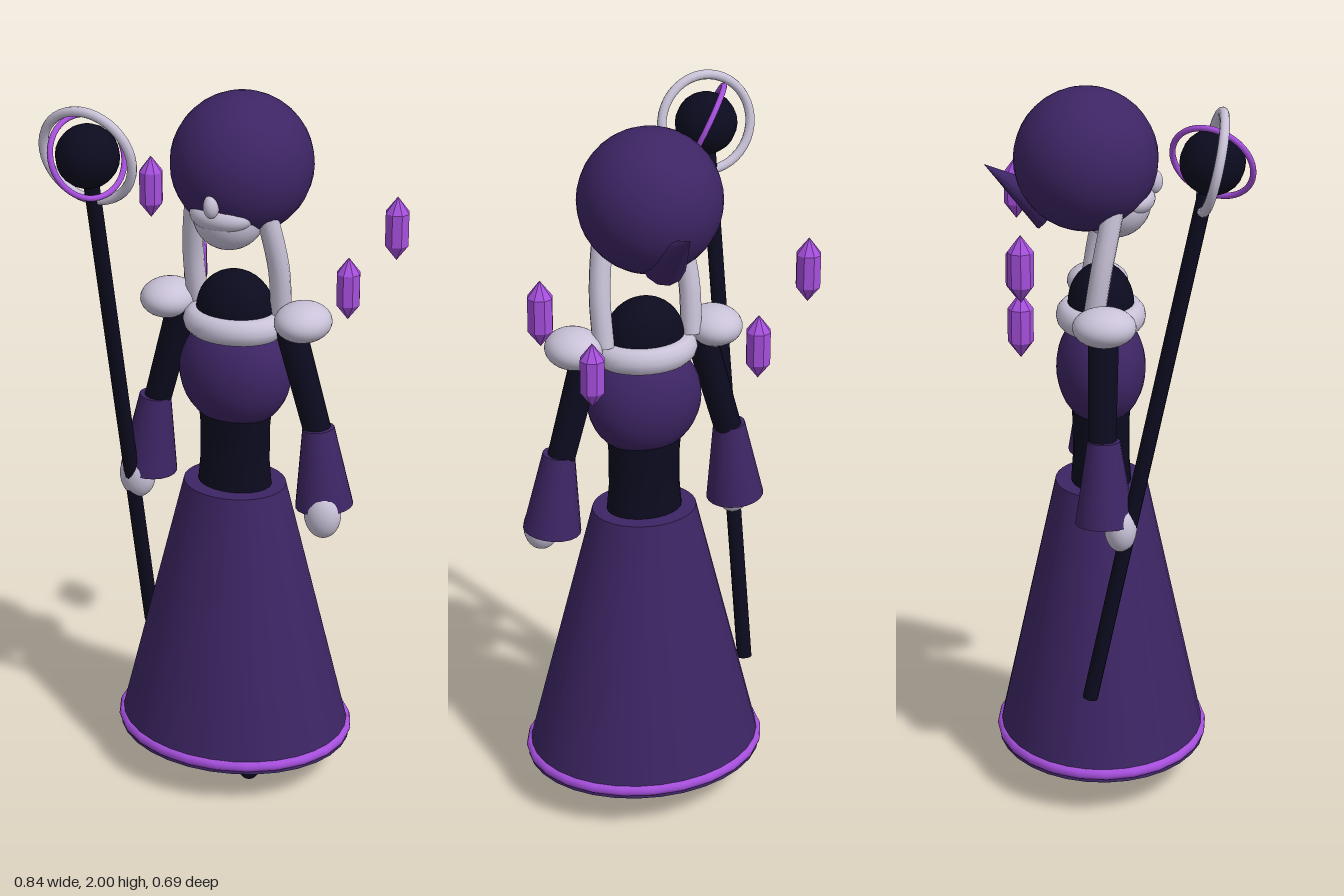
import * as THREE from 'three';

export function createModel() {
  const model = new THREE.Group();
  model.name = 'robedMage';

  const mat = (name, color, extra = {}) => {
    const m = new THREE.MeshStandardMaterial({ color, ...extra });
    m.name = name;
    return m;
  };
  const robe = mat('robePurple', 0x3d2564);
  const dark = mat('nightBlack', 0x0c0b1f);
  const pale = mat('paleLilac', 0xc9c2d8);
  const glow = mat('glowViolet', 0xa64fdd);
  const crystalMat = glow.clone();
  crystalMat.flatShading = true;

  const V = (x, y, z) => new THREE.Vector3(x, y, z);
  const UP = V(0, 1, 0);
  const CX = 0.012, CZ = -0.036; // body axis

  const add = (name, geo, material, pos = [0, 0, 0], scale = [1, 1, 1]) => {
    const mesh = new THREE.Mesh(geo, material);
    mesh.name = name;
    mesh.position.set(...pos);
    mesh.scale.set(...scale);
    model.add(mesh);
    return mesh;
  };
  const ball = (name, material, pos, radii) =>
    add(name, new THREE.SphereGeometry(1, 32, 20), material, pos, radii);
  // Tapered cylinder running from point a to point b
  const limb = (name, material, a, b, ra, rb, sides = 16) => {
    const dir = b.clone().sub(a);
    const mesh = add(name, new THREE.CylinderGeometry(rb, ra, dir.length(), sides), material);
    mesh.position.copy(a).lerp(b, 0.5);
    mesh.quaternion.setFromUnitVectors(UP, dir.normalize());
    return mesh;
  };

  // Skirt with a glowing hem
  const skirtDepth = 0.866;
  add('skirt', new THREE.CylinderGeometry(0.146, 0.338, 0.77, 32), robe,
    [CX, 0.495, CZ], [1, 1, skirtDepth]);
  const hem = new THREE.TorusGeometry(0.328, 0.016, 10, 24).rotateX(Math.PI / 2);
  add('skirtHem', hem, glow, [CX, 0.13, CZ], [1, 1, skirtDepth]);

  // Waist, chest, neck and collar
  add('waist', new THREE.LatheGeometry([
    new THREE.Vector2(0.108, 0.86), new THREE.Vector2(0.1, 0.95),
    new THREE.Vector2(0.1, 1.05), new THREE.Vector2(0.106, 1.12),
  ], 24), dark, [CX, 0, CZ], [1, 1, 0.78]);
  ball('chest', robe, [CX, 1.21, CZ], [0.16, 0.16, 0.122]);
  ball('neck', dark, [CX, 1.39, CZ], [0.11, 0.112, 0.09]);
  const collar = new THREE.TorusGeometry(0.11, 0.037, 12, 32).rotateX(Math.PI / 2);
  add('collar', collar, pale, [CX, 1.358, CZ], [1, 1, 0.83]);

  // Hooded head with a back point, and the face beneath
  ball('hood', robe, [CX, 1.793, -0.075], [0.192, 0.192, 0.193]);
  limb('hoodPoint', robe, V(CX, 1.655, -0.17), V(CX, 1.782, -0.345), 0.062, 0, 12);
  ball('face', pale, [CX, 1.675, 0], [0.098, 0.097, 0.1]);
  ball('cheeks', pale, [CX, 1.685, 0.045], [0.09, 0.045, 0.065]);
  ball('nose', pale, [CX, 1.728, 0.105], [0.021, 0.033, 0.025]);

  // Mirrored parts
  for (const s of [-1, 1]) {
    const side = s > 0 ? 'left' : 'right';
    const P = (x, y, z) => V(CX + s * x, y, z);
    const at = (x, y, z) => [CX + s * x, y, z];

    const lockPath = new THREE.CatmullRomCurve3([
      P(0.098, 1.72, 0.0), P(0.117, 1.62, -0.02), P(0.128, 1.52, -0.04), P(0.126, 1.39, -0.06),
    ]);
    add(side + 'HairLock', new THREE.TubeGeometry(lockPath, 16, 0.029, 12), pale);
    ball(side + 'ShoulderPuff', pale, at(0.202, 1.39, CZ), [0.077, 0.053, 0.085]);

    limb(side + 'Arm', dark, P(0.16, 1.38, CZ), P(0.25, 1.06, -0.045), 0.042, 0.038);
    limb(side + 'Sleeve', robe, P(0.272, 0.862, -0.038), P(0.25, 1.088, -0.04), 0.08, 0.044, 20);
    ball(side + 'Hand', pale, at(0.286, 0.853, 0.003), [0.052, 0.068, 0.044]);

    // Toes point forward and slightly down
    const heel = P(0.1, 0.09, -0.045), toe = P(0.1, 0.028, 0.072);
    limb(side + 'Shin', dark, P(0.1, 0.16, -0.042), heel, 0.027, 0.027);
    ball(side + 'Heel', dark, heel.toArray(), [0.027, 0.027, 0.027]);
    limb(side + 'Foot', dark, heel, toe, 0.027, 0.028);
    ball(side + 'Toe', dark, toe.toArray(), [0.028, 0.028, 0.028]);
  }

  // Leaning staff with an orb and two rings
  const orbAt = V(-0.28, 1.86, 0.236);
  limb('staff', dark, V(-0.28, 0.35, -0.08), orbAt, 0.021, 0.021, 12);
  add('staffOrb', new THREE.SphereGeometry(0.085, 16, 12), dark, orbAt.toArray());
  const paleRing = add('staffRing', new THREE.TorusGeometry(0.13, 0.013, 10, 40), pale, orbAt.toArray());
  paleRing.rotation.x = 0.21;
  const glowRing = add('orbitRing', new THREE.TorusGeometry(0.11, 0.008, 10, 40), glow, orbAt.toArray());
  glowRing.quaternion.setFromUnitVectors(V(0, 0, 1), V(0.8, 0.42, 0.42).normalize());

  // Floating crystals behind the shoulders
  const crystal = new THREE.LatheGeometry(
    [[0, -0.09], [0.034, -0.045], [0.034, 0.045], [0, 0.09]].map(p => new THREE.Vector2(...p)), 8);
  for (const s of [-1, 1]) {
    for (const [x, y] of [[0.373, 1.61], [0.234, 1.413]]) {
      add('floatingCrystal', crystal, crystalMat, [CX + s * x, y, -0.256]);
    }
  }

  return model;
}
